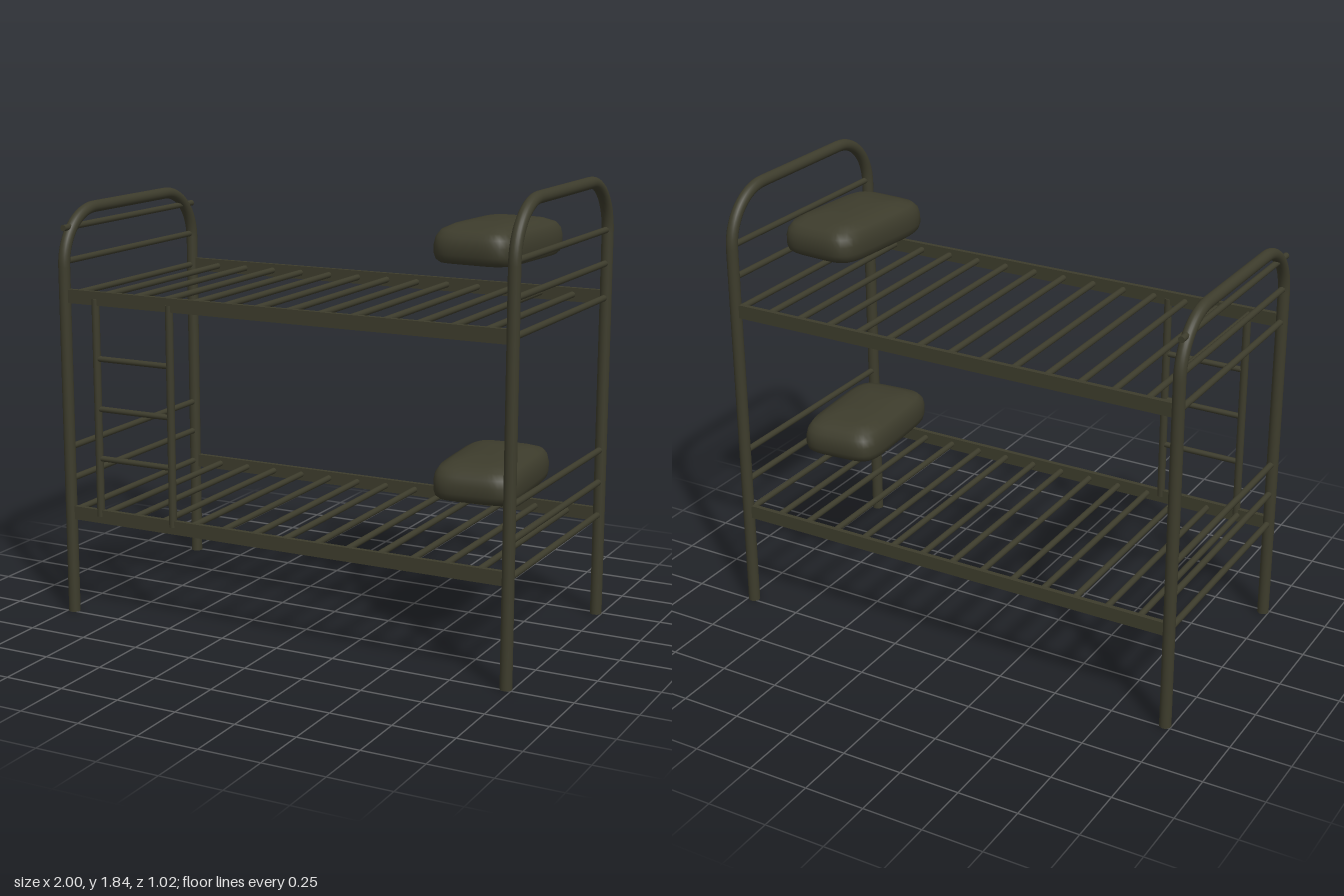
import * as THREE from 'three';
import { toCreasedNormals } from 'three/addons/utils/BufferGeometryUtils.js';

const HALF_LENGTH = 0.975, HALF_DEPTH = 0.488, POST_R = 0.024, BEND = 0.22;
const UP = new THREE.Vector3(0, 1, 0);

export function createModel() {
  const olive = new THREE.MeshStandardMaterial({ color: 0x3d3c2c });
  olive.name = 'dark olive';
  const model = new THREE.Group();
  model.name = 'bunkBed';

  function group(name) {
    const g = new THREE.Group();
    g.name = name;
    model.add(g);
    return g;
  }

  function add(parent, name, geometry) {
    const mesh = new THREE.Mesh(geometry, olive);
    mesh.name = name;
    parent.add(mesh);
    return mesh;
  }

  // Round bar between two points
  function bar(parent, name, from, to, radius, sides = 12) {
    const a = new THREE.Vector3(...from), b = new THREE.Vector3(...to);
    const mesh = add(parent, name, new THREE.CylinderGeometry(radius, radius, a.distanceTo(b), sides));
    mesh.position.copy(a).add(b).multiplyScalar(0.5);
    mesh.quaternion.setFromUnitVectors(UP, b.sub(a).normalize());
  }

  // End frame: two posts joined by a bent tube, with cross bars
  function endFrame(name, x, top) {
    const g = group(name);
    const bendY = top - BEND, bendZ = HALF_DEPTH - BEND;
    for (const side of [-1, 1]) {
      bar(g, 'post', [x, 0, side * HALF_DEPTH], [x, bendY, side * HALF_DEPTH], POST_R, 20);
      const bend = add(g, 'bend', new THREE.TorusGeometry(BEND, POST_R, 20, 16, Math.PI / 2));
      bend.position.set(x, bendY, side * bendZ);
      bend.rotation.y = -side * Math.PI / 2;
    }
    bar(g, 'topTube', [x, top, -bendZ], [x, top, bendZ], POST_R, 20);
    for (const y of [0.43, 0.57, 0.705, 1.335, 1.475, 1.61]) {
      bar(g, 'crossBar', [x, y, -HALF_DEPTH], [x, y, HALF_DEPTH], 0.013);
    }
  }
  endFrame('headFrame', HALF_LENGTH, 1.816);
  endFrame('footFrame', -HALF_LENGTH, 1.675);

  // Two bunks: flat side rails and round slats
  for (const [name, y] of [['lowerBunk', 0.43], ['upperBunk', 1.337]]) {
    const g = group(name);
    for (const side of [-1, 1]) {
      const rail = add(g, 'sideRail', new THREE.BoxGeometry(HALF_LENGTH * 2, 0.056, 0.02));
      rail.position.set(0, y, side * HALF_DEPTH);
    }
    for (let i = -6; i <= 6; i++) {
      const x = i * 0.1393;
      bar(g, 'slat', [x, y, -HALF_DEPTH], [x, y, HALF_DEPTH], 0.013);
    }
  }

  // Ladder on the front
  const ladder = group('ladder');
  const left = -0.828, right = -0.48;
  for (const x of [left, right]) {
    bar(ladder, 'stile', [x, 0.43, HALF_DEPTH], [x, 1.335, HALF_DEPTH], 0.016);
  }
  for (const y of [0.675, 0.882, 1.09]) {
    bar(ladder, 'rung', [left, y, HALF_DEPTH], [right, y, HALF_DEPTH], 0.012);
  }

  // Pillow: flat base and domed top, with a rounded rectangular outline
  const profile = [[0.001, 0], [0.91, 0], [0.97, 0.012], [1, 0.035], [1, 0.07], [0.97, 0.1],
    [0.89, 0.123], [0.7, 0.14], [0.4, 0.149], [0.001, 0.151]];
  const round = new THREE.LatheGeometry(profile.map(([r, y]) => new THREE.Vector2(r, y)), 64);
  const p = round.attributes.position;
  for (let i = 0; i < p.count; i++) {
    const x = p.getX(i), z = p.getZ(i), r = Math.hypot(x, z), n = 5.5;
    const k = Math.pow(Math.abs(x / r) ** n + Math.abs(z / r) ** n, -1 / n);
    p.setX(i, x * k * 0.173);
    p.setZ(i, z * k * 0.28);
  }
  const pillowShape = toCreasedNormals(round, 0.8);
  for (const [name, x, y, z, turn] of [
    ['upperPillow', 0.698, 1.54, -0.032, -0.07],
    ['lowerPillow', 0.71, 0.635, 0.025, 0.07],
  ]) {
    const pillow = add(model, name, pillowShape);
    pillow.position.set(x, y, z);
    pillow.rotation.y = turn;
  }

  return model;
}
